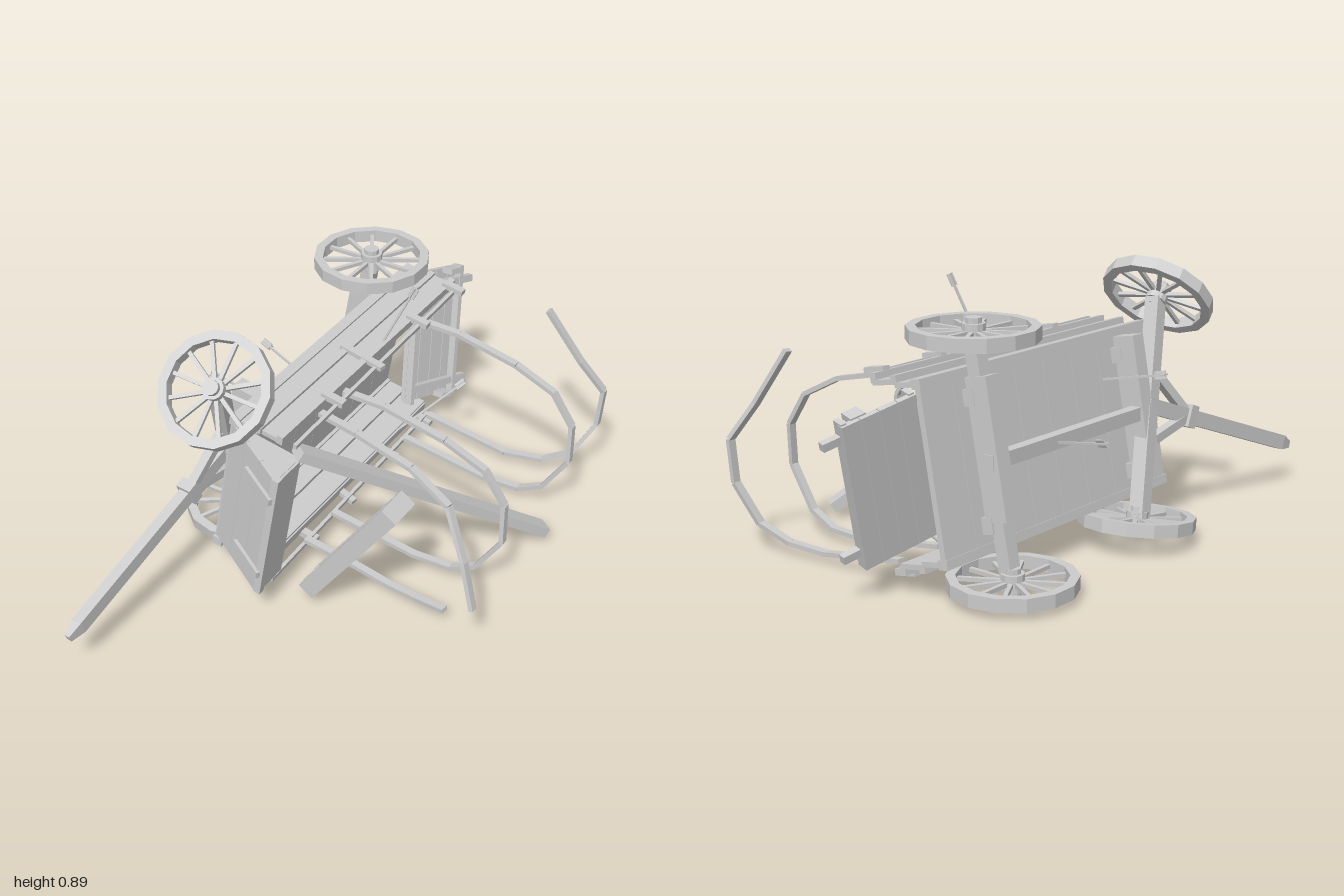
import * as THREE from 'three';

const mat = new THREE.MeshStandardMaterial({ color: 0xcccccc, flatShading: true, side: THREE.DoubleSide });
const V = (a) => new THREE.Vector3(...a);

function add(parent, geo, name, pos = [0, 0, 0]) {
  const m = new THREE.Mesh(geo, mat);
  m.name = name;
  m.position.set(...pos);
  parent.add(m);
  return m;
}
const box = (parent, name, size, pos) => add(parent, new THREE.BoxGeometry(...size), name, pos);

// Rectangular bar from a to b: w is its size along the hint direction, d across it
function bar(parent, name, a, b, w, d, hint = [1, 0, 0], taper = 1) {
  const p = V(a), q = V(b), y = q.clone().sub(p), len = y.length();
  y.normalize();
  const z = V(hint).cross(y).normalize();
  const x = y.clone().cross(z);
  const geo = new THREE.BoxGeometry(w, len, d);
  const at = geo.attributes.position;
  for (let i = 0; i < at.count; i++) {
    if (at.getY(i) > 0) at.setXYZ(i, at.getX(i) * taper, at.getY(i), at.getZ(i) * taper);
  }
  const m = add(parent, geo, name);
  m.position.copy(p.add(q).multiplyScalar(0.5));
  m.quaternion.setFromRotationMatrix(new THREE.Matrix4().makeBasis(x, y, z));
}

// Spoked wheel of radius R turning about the given axis
function wheel(parent, name, R, pos, axis) {
  const g = new THREE.Group();
  g.name = name;
  const r = R - 0.03, h = 0.021;
  const rim = [[r, -h], [R, -h], [R, h], [r, h], [r, -h]].map((p) => new THREE.Vector2(...p));
  add(g, new THREE.LatheGeometry(rim, 14), 'rim');
  add(g, new THREE.CylinderGeometry(0.036, 0.036, 0.055, 12), 'hub');
  add(g, new THREE.CylinderGeometry(0.025, 0.025, 0.088, 10), 'hubCap');
  for (let i = 0; i < 12; i++) {
    const a = (i * Math.PI) / 6, c = Math.cos(a), s = Math.sin(a);
    bar(g, 'spoke', [c * 0.03, 0, s * 0.03], [c * r, 0, s * r], 0.013, 0.013, [0, 1, 0]);
  }
  g.position.set(...pos);
  g.quaternion.setFromUnitVectors(new THREE.Vector3(0, 1, 0), V(axis).normalize());
  parent.add(g);
}

// Flat wooden hoop bent in straight lengths
function hoop(parent, points) {
  const g = new THREE.Group();
  g.name = 'hoop';
  parent.add(g);
  for (let i = 1; i < points.length; i++) {
    bar(g, 'hoopLength', points[i - 1], points[i], 0.026, 0.015, [0, 0, 1]);
  }
}

// Arrow stuck in the wood, fletched at its tail
function arrow(parent, tip, tail) {
  bar(parent, 'arrowShaft', tip, tail, 0.007, 0.007, [0, 0, 1]);
  const end = V(tail), back = end.clone().lerp(V(tip), 0.04 / end.distanceTo(V(tip)));
  for (const hint of [[0, 0, 1], [1, 0.3, 0]]) {
    bar(parent, 'arrowFeather', back.toArray(), tail, 0.026, 0.004, hint);
  }
}

export function createModel() {
  const wagon = new THREE.Group();
  wagon.name = 'overturnedWagon';

  // Bed on its side: local x points to the open top, local y across the bed
  const bed = new THREE.Group();
  bed.name = 'bed';
  bed.position.set(-0.15, 0.365, 0);
  bed.rotation.z = -0.183;
  wagon.add(bed);
  for (let i = 0; i < 8; i++) {
    box(bed, 'floorBoard', [0.02, 0.52, 0.1355], [-0.12, 0, -0.652 + i * 0.1365]);
  }
  for (const s of [-1, 1]) {
    for (let i = 0; i < 2; i++) {
      const u = -0.076 + i * 0.088, v = s * (0.262 + i * 0.01);
      bar(bed, 'sideBoard', [u, v, -0.72], [u, v, 0.37], 0.086, 0.016);
    }
    bar(bed, 'topRail', [0.05, s * 0.286, -0.72], [0.05, s * 0.286, 0.38], 0.022, 0.03);
    bar(bed, 'middleRail', [-0.03, s * 0.28, -0.72], [-0.03, s * 0.28, 0.38], 0.022, 0.022);
    bar(bed, 'floorRail', [-0.115, s * 0.262, -0.72], [-0.115, s * 0.262, 0.38], 0.035, 0.03);
    bar(bed, 'hoopRail', [0.085, s * 0.293, -0.7], [0.105, s * 0.293, 0.38], 0.012, 0.016);
    for (const z of [-0.67, -0.42, 0.12]) {
      box(bed, 'hoopBracket', [0.08, 0.02, 0.028], [0.08, s * 0.303, z]);
    }
    bar(bed, 'sidePost', [-0.05, s * 0.288, -0.145], [0.12, s * 0.302, -0.12], 0.026, 0.016, [0, 0, 1]);
    // Triangular side of the sloping front
    const cheek = new THREE.Shape([[-0.12, 0.36], [0.12, 0.36], [0.12, 0.485]].map((p) => new THREE.Vector2(...p)));
    const geo = new THREE.ExtrudeGeometry(cheek, { depth: 0.014, bevelEnabled: false });
    geo.rotateX(Math.PI / 2);
    add(bed, geo, 'frontCheek', [0, s * 0.235 + 0.007, 0]);
  }

  // Front board sloping outwards, with battens and a lid
  for (let i = 0; i < 3; i++) {
    const u = -0.12 + i * 0.08, z = 0.365 + i * 0.043;
    bar(bed, 'frontBoard', [u, 0, z], [u + 0.079, 0, z + 0.042], 0.49, 0.016, [0, 1, 0]);
  }
  for (const s of [-1, 1]) {
    bar(bed, 'frontBatten', [-0.02, s * 0.16, 0.433], [0.12, s * 0.16, 0.507], 0.025, 0.014, [0, 1, 0]);
  }
  bar(bed, 'frontTopRail', [0.12, -0.245, 0.488], [0.12, 0.245, 0.488], 0.025, 0.025);
  box(bed, 'frontLid', [0.016, 0.48, 0.125], [0.12, 0, 0.432]);

  // Bolsters, blocks and long reach beam under the floor
  for (const z of [-0.52, 0.2]) {
    bar(bed, 'bolster', [-0.185, -0.18, z], [-0.185, 0.25, z], 0.08, 0.055);
    for (const s of [-1, 1]) box(bed, 'bolsterBlock', [0.06, 0.05, 0.06], [-0.14, s * 0.19, z]);
  }
  bar(wagon, 'reach', [-0.34, 0.4, -0.55], [-0.345, 0.4, 0.27], 0.035, 0.045);

  // Axles and wheels; the front pair is steered and wrenched
  bar(wagon, 'rearAxle', [-0.4, 0.04, -0.52], [-0.255, 0.77, -0.52], 0.045, 0.045);
  wheel(wagon, 'rearLowerWheel', 0.198, [-0.404, 0.044, -0.52], [0, 1, 0]);
  wheel(wagon, 'rearUpperWheel', 0.198, [-0.255, 0.767, -0.515], [0, 1, 0]);
  bar(wagon, 'frontAxle', [-0.415, 0.08, 0.1], [-0.275, 0.74, 0.37], 0.05, 0.05);
  wheel(wagon, 'frontLowerWheel', 0.19, [-0.406, 0.075, 0.1], [0.02, 1, 0.14]);
  wheel(wagon, 'frontUpperWheel', 0.187, [-0.272, 0.747, 0.387], [0.1, 0.72, 0.72]);

  // Tongue with its hounds and clamp
  bar(wagon, 'tongue', [-0.35, 0.42, 0.22], [-0.425, 0.15, 0.95], 0.036, 0.05);
  bar(wagon, 'tongueTip', [-0.425, 0.15, 0.95], [-0.43, 0.132, 0.998], 0.036, 0.05, [1, 0, 0], 0.5);
  bar(wagon, 'tongueClamp', [-0.371, 0.352, 0.41], [-0.374, 0.338, 0.445], 0.055, 0.075);
  for (const y of [0.3, 0.52]) {
    bar(wagon, 'hound', [-0.35 + (y - 0.41) * 0.2, y, 0.24 + (y - 0.41) * 0.4], [-0.372, 0.345, 0.43], 0.03, 0.03);
  }

  // Tailgate fallen open and twisted
  const gate = new THREE.Group();
  gate.name = 'tailgate';
  const long = new THREE.Vector3(-0.1, 0.95, -0.27).normalize();
  const face = new THREE.Vector3(1, 0, 0.26).addScaledVector(long, -V([1, 0, 0.26]).dot(long)).normalize();
  gate.quaternion.setFromRotationMatrix(new THREE.Matrix4().makeBasis(face, long, face.clone().cross(long)));
  gate.position.set(-0.16, 0.36, -0.775);
  wagon.add(gate);
  for (let i = 0; i < 4; i++) box(gate, 'gateBoard', [0.02, 0.48, 0.06], [0, 0, -0.094 + i * 0.0625]);
  for (const s of [-1, 1]) {
    box(gate, 'gateBatten', [0.024, 0.025, 0.29], [0.022, s * 0.19, -0.035]);
    box(gate, 'gateEdge', [0.04, 0.49, 0.018], [0.018, 0, s * 0.113]);
    box(gate, 'gateCleat', [0.05, 0.02, 0.05], [0.03, s * 0.235, -0.06]);
  }

  // Hoops: two whole, two broken
  for (const z of [-0.5, 0]) {
    hoop(wagon, [[-0.04, 0.61, z + 0.02], [0.1, 0.59, z], [0.32, 0.54, z], [0.46, 0.47, z - 0.01], [0.535, 0.36, z - 0.01],
      [0.54, 0.22, z], [0.45, 0.08, z], [0.36, 0.035, z], [0.22, 0.03, z], [-0.1, 0.08, z]]);
  }
  hoop(wagon, [[-0.1, 0.08, -0.67], [0.22, 0.03, -0.67], [0.36, 0.04, -0.69], [0.46, 0.09, -0.72], [0.53, 0.22, -0.755],
    [0.54, 0.36, -0.76], [0.46, 0.48, -0.72], [0.34, 0.66, -0.69]]);
  hoop(wagon, [[-0.04, 0.61, 0.16], [0.1, 0.59, 0.17], [0.3, 0.54, 0.18], [0.45, 0.47, 0.21], [0.54, 0.33, 0.27], [0.59, 0.18, 0.295]]);
  hoop(wagon, [[-0.1, 0.08, 0.17], [0.1, 0.05, 0.17], [0.22, 0.03, 0.175], [0.33, 0.03, 0.185], [0.45, 0.05, 0.21]]);

  // Loose beam leaning from the upper rim to the ground
  bar(wagon, 'looseBeam', [0.01, 0.61, 0.37], [0.535, 0.035, -0.34], 0.06, 0.035, [0.75, 0, 0.6]);

  // Seat bench thrown out at the front
  const seat = new THREE.Group();
  seat.name = 'seat';
  seat.position.set(0.175, 0.265, 0.305);
  seat.rotation.z = 0.955;
  wagon.add(seat);
  box(seat, 'seatBoard', [0.53, 0.02, 0.12], [0, 0.015, 0]);
  for (const s of [-1, 1]) {
    box(seat, 'seatRail', [0.53, 0.06, 0.014], [0, 0, s * 0.053]);
    box(seat, 'seatEnd', [0.014, 0.06, 0.12], [s * 0.258, 0, 0]);
  }

  // Arrows in the floor and the sides
  arrow(wagon, [-0.28, 0.52, 0.08], [-0.505, 0.565, 0.1]);
  arrow(wagon, [-0.28, 0.38, -0.23], [-0.575, 0.445, -0.305]);
  arrow(wagon, [-0.07, 0.61, -0.24], [0.052, 0.87, -0.275]);
  arrow(wagon, [-0.17, 0.06, -0.5], [0.055, 0.295, -0.65]);

  return wagon;
}
